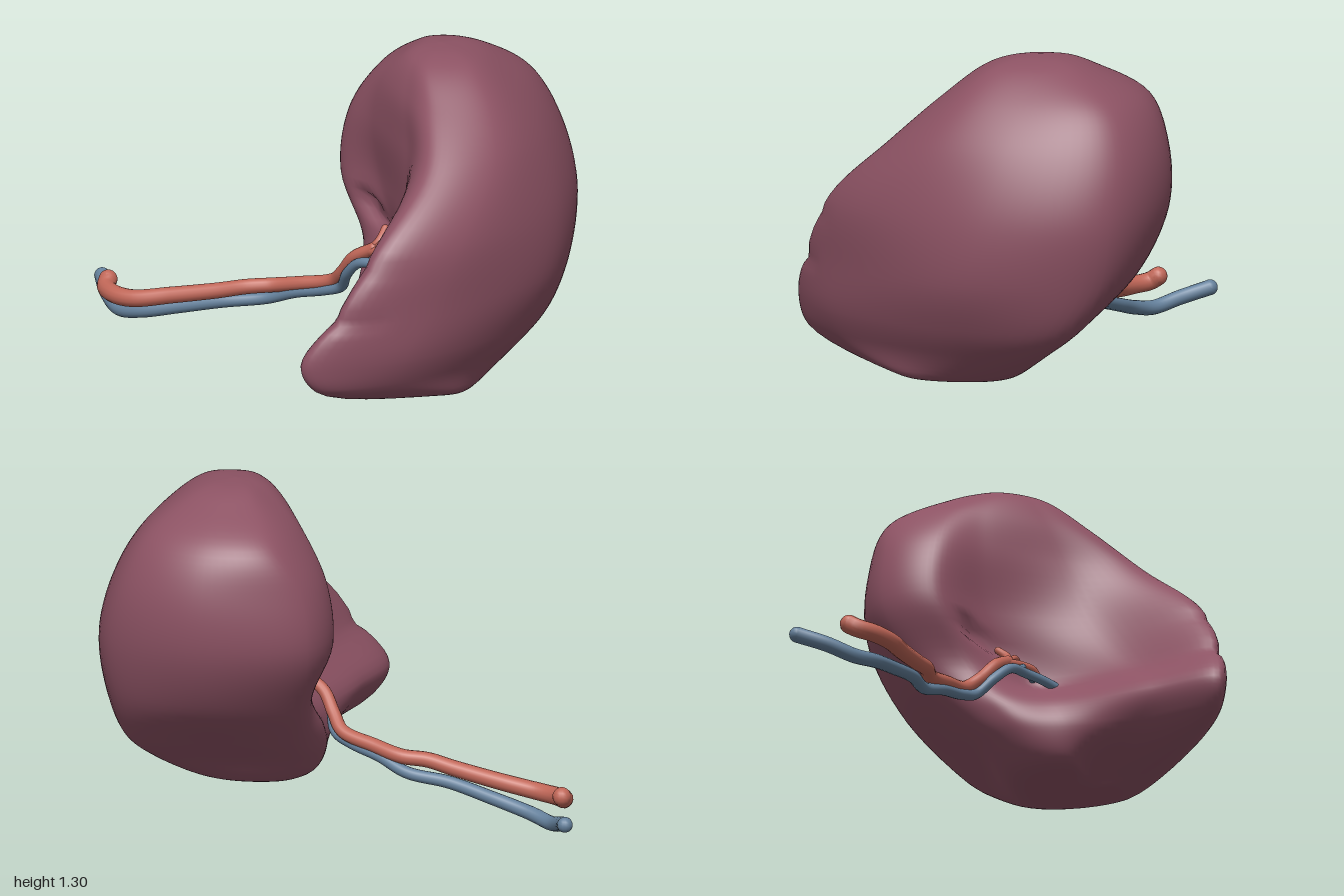
import * as THREE from 'three';

const V = (x, y, z) => new THREE.Vector3(x, y, z);
const flesh = new THREE.MeshStandardMaterial({ color: 0x8c5263 });
flesh.name = 'organ plum';
const red = new THREE.MeshStandardMaterial({ color: 0xbf6657 });
red.name = 'artery red';
const blue = new THREE.MeshStandardMaterial({ color: 0x64809b });
blue.name = 'vein blue';

// Horizontal sections, bottom to top: x,z of nine points running front tip, outer side,
// outer back, back, inner back, inner edge, inner front corner, hollow, front lobe
const HEIGHTS = [0.03, 0.15, 0.26, 0.45, 0.70, 0.95, 1.13, 1.25];
const SECTIONS = [
  [.75, .20, .84, .06, .74, -.13, .58, -.24, .45, -.18, .34, -.02, .36, .11, .46, .20, .61, .15],
  [.79, .71, .92, .33, .82, -.20, .58, -.47, .39, -.29, .22, -.05, .25, .10, .42, .25, .61, .44],
  [.78, .77, .96, .36, .86, -.28, .55, -.61, .30, -.40, .13, -.11, .19, .06, .40, .20, .61, .53],
  [.84, .65, .99, .25, .89, -.38, .49, -.72, .15, -.54, -.01, -.18, .12, -.04, .42, .02, .64, .30],
  [.87, .47, 1.0, .12, .86, -.44, .48, -.77, .09, -.64, -.145, -.24, -.03, -.04, .24, -.04, .58, .13],
  [.81, .18, .91, -.08, .76, -.46, .42, -.74, .08, -.63, -.125, -.26, -.01, -.06, .20, -.02, .52, .06],
  [.66, .04, .77, -.16, .64, -.43, .39, -.64, .12, -.56, -.035, -.33, .09, -.11, .22, -.04, .45, .02],
  [.52, -.05, .62, -.19, .52, -.36, .38, -.45, .24, -.40, .17, -.28, .23, -.16, .30, -.09, .41, -.05],
];
const POINTS = 9;
const BOTTOM = V(.6, 0, .02), TOP = V(.38, 1.3, -.22);

// Dents pressed into the front: x, y, radius x, radius y, depth
const DENTS = [
  [.15, .61, .05, .035, .05], [.24, .56, .06, .03, .03],
  [.42, .40, .10, .05, .03], [.86, .43, .10, .03, .025], [.88, .62, .10, .03, .015],
];

// Extra point between a pole and its nearest section, so the pole is rounded
function shoulder(pole, p) {
  const s = pole.clone().lerp(p, 0.55);
  s.y = pole.y + (p.y - pole.y) * 0.25;
  return s;
}

function bodyGeometry(rows = 77, cols = 99) {
  const columns = [];
  for (let k = 0; k < POINTS; k++) {
    const pts = SECTIONS.map((p, i) => V(p[2 * k], HEIGHTS[i], p[2 * k + 1]));
    columns.push(new THREE.CatmullRomCurve3([
      BOTTOM, shoulder(BOTTOM, pts[0]), ...pts, shoulder(TOP, pts.at(-1)), TOP]));
  }
  const pos = [...BOTTOM.toArray()], index = [];
  for (let i = 1; i < rows; i++) {
    const ring = new THREE.CatmullRomCurve3(columns.map(c => c.getPoint(i / rows)), true);
    for (let j = 0; j < cols; j++) {
      const p = ring.getPoint(j / cols);
      const a = j / cols * POINTS;
      // only the front-facing stretch of each ring is dented
      const front = a < 0.6 ? 1 : THREE.MathUtils.clamp(a - 5, 0, 1);
      for (const [x, y, rx, ry, d] of DENTS)
        p.z -= front * d * Math.exp(-(((p.x - x) / rx) ** 2) - ((p.y - y) / ry) ** 2);
      pos.push(p.x, Math.max(0, p.y), p.z);
    }
  }
  pos.push(...TOP.toArray());
  const at = (i, j) => 1 + (i - 1) * cols + j % cols;
  const last = pos.length / 3 - 1;
  for (let j = 0; j < cols; j++) {
    index.push(0, at(1, j + 1), at(1, j));
    index.push(last, at(rows - 1, j), at(rows - 1, j + 1));
    for (let i = 1; i < rows - 1; i++) {
      index.push(at(i, j), at(i, j + 1), at(i + 1, j));
      index.push(at(i, j + 1), at(i + 1, j + 1), at(i + 1, j));
    }
  }
  const g = new THREE.BufferGeometry();
  g.setAttribute('position', new THREE.Float32BufferAttribute(pos, 3));
  g.setIndex(index);
  g.computeVertexNormals();
  return g;
}

// Tapered tube with rounded ends
function vessel(name, material, points, r0, r1) {
  const curve = new THREE.CatmullRomCurve3(points.map(p => V(...p)));
  const n = points.length * 7, sides = 14;
  const g = new THREE.TubeGeometry(curve, n, 1, sides);
  const pos = g.attributes.position, v = V(0, 0, 0);
  for (let i = 0; i <= n; i++) {
    const c = curve.getPointAt(i / n), r = r0 + (r1 - r0) * i / n;
    for (let j = 0; j <= sides; j++) {
      const k = i * (sides + 1) + j;
      v.fromBufferAttribute(pos, k).sub(c).multiplyScalar(r).add(c);
      pos.setXYZ(k, v.x, v.y, v.z);
    }
  }
  g.computeBoundingSphere();
  const group = new THREE.Group();
  group.name = name;
  const tube = new THREE.Mesh(g, material);
  tube.name = name + 'Tube';
  group.add(tube);
  for (const [t, r] of [[0, r0], [1, r1]]) {
    const cap = new THREE.Mesh(new THREE.SphereGeometry(r, 14, 10), material);
    cap.position.copy(curve.getPoint(t));
    cap.name = name + 'End';
    group.add(cap);
  }
  return group;
}

export function createModel() {
  const model = new THREE.Group();
  model.name = 'organWithVessels';
  const body = new THREE.Mesh(bodyGeometry(), flesh);
  body.name = 'organBody';
  model.add(body);

  // Artery and its branches into the hollow
  model.add(vessel('artery', red, [
    [-.80, .17, .515], [-.78, .15, .54], [-.71, .14, .555], [-.62, .14, .53], [-.50, .165, .435],
    [-.35, .20, .32], [-.26, .225, .25], [-.19, .235, .175], [-.08, .26, .12], [.05, .295, .06],
    [.12, .35, .065], [.19, .425, .065], [.27, .475, .03]], .037, .024));
  model.add(vessel('arteryUpperBranch', red, [[.24, .45, .045], [.28, .50, .015], [.265, .545, -.03]], .02, .014));
  model.add(vessel('arteryMiddleBranch', red, [[.27, .47, .03], [.32, .51, .01], [.37, .50, -.03]], .014, .01));
  model.add(vessel('arteryLowerBranch', red, [[.25, .46, .04], [.33, .475, .03], [.39, .47, .03], [.42, .45, .02]], .02, .014));

  // Vein and its branches
  model.add(vessel('vein', blue, [
    [-.975, .12, .41], [-.87, .085, .465], [-.76, .055, .49], [-.65, .07, .47], [-.50, .11, .385],
    [-.35, .15, .29], [-.22, .175, .18], [-.10, .22, .13], [.02, .25, .08], [.10, .28, .06],
    [.17, .355, .085], [.25, .42, .085], [.34, .43, .06], [.42, .42, .06], [.48, .405, .06]], .031, .018));
  model.add(vessel('veinUpperBranch', blue, [[.29, .43, .075], [.34, .47, .03], [.33, .50, -.03]], .016, .011));
  model.add(vessel('veinLowerBranch', blue, [[.33, .43, .06], [.39, .43, .03], [.41, .45, -.02]], .015, .011));
  return model;
}
